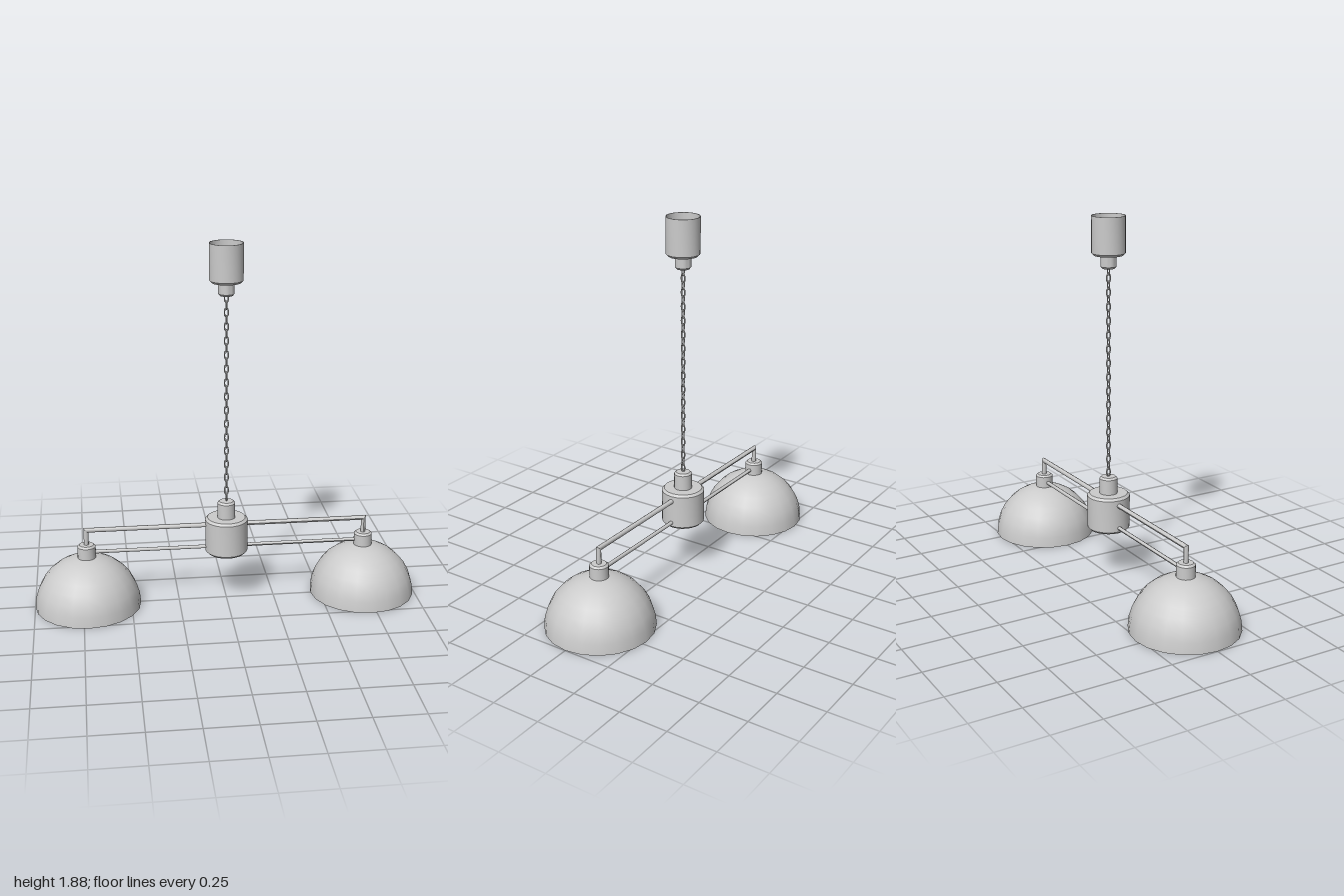
import * as THREE from 'three';
import { toCreasedNormals } from 'three/addons/utils/BufferGeometryUtils.js';

const material = new THREE.MeshStandardMaterial({ color: 0xcccccc, side: THREE.DoubleSide });

function addMesh(parent, name, geometry, x = 0, y = 0) {
  const mesh = new THREE.Mesh(geometry, material);
  mesh.name = name;
  mesh.position.set(x, y, 0);
  parent.add(mesh);
  return mesh;
}

// Turned part from [radius, height] pairs, with sharp edges kept
function turned(points, sides = 24) {
  const profile = points.map(([r, y]) => new THREE.Vector2(r, y));
  return toCreasedNormals(new THREE.LatheGeometry(profile, sides), 0.6);
}

// Round rod along +x, its far end optionally cut at 45 degrees for a mitre
function rod(length, radius, mitre = 0) {
  const g = new THREE.CylinderGeometry(radius, radius, length, 8);
  g.rotateZ(-Math.PI / 2).translate(length / 2, 0, 0);
  const p = g.attributes.position;
  for (let i = 0; i < p.count; i++) {
    if (p.getX(i) > length / 2) p.setX(i, length + mitre * p.getY(i));
  }
  g.computeVertexNormals();
  return g;
}

// Oval chain link: two straight sides joined by half circles
function chainLink() {
  const r = 0.0085, straight = 0.012, points = [];
  for (let i = 0; i < 10; i++) {
    const half = i < 5 ? 1 : -1;
    const a = (i % 5) * Math.PI / 4 + (half > 0 ? 0 : Math.PI);
    points.push(new THREE.Vector3(r * Math.cos(a), r * Math.sin(a) + half * straight, 0));
  }
  const curve = new THREE.CatmullRomCurve3(points, true);
  return new THREE.TubeGeometry(curve, 20, 0.0038, 6, true);
}

// Thin hemispherical shell, outer skin up and inner skin back down
function domeProfile(outer, inner, rings) {
  const points = [];
  for (let i = 0; i <= rings; i++) {
    const a = (i / rings) * Math.PI / 2;
    points.push([outer * Math.cos(a), outer * Math.sin(a)]);
  }
  for (let i = rings; i >= 0; i--) {
    const a = (i / rings) * Math.PI / 2;
    points.push([inner * Math.cos(a), inner * Math.sin(a)]);
  }
  points.push([outer, 0]);
  return points;
}

export function createModel() {
  const model = new THREE.Group();
  model.name = 'pendantLamp';

  // Ceiling cup, open at the top, with a stepped neck
  addMesh(model, 'ceilingCup', turned([
    [0, 1.625], [0.032, 1.625], [0.04, 1.635], [0.04, 1.69], [0.073, 1.69],
    [0.085, 1.702], [0.085, 1.885], [0.081, 1.885], [0.081, 1.703],
    [0.072, 1.694], [0.036, 1.694], [0.036, 1.637], [0.03, 1.629], [0, 1.629],
  ]));

  // Chain of links turned alternately by a quarter
  const chain = new THREE.Group();
  chain.name = 'chain';
  model.add(chain);
  const link = chainLink();
  for (let i = 0; i < 30; i++) {
    const mesh = addMesh(chain, 'chainLink', link, 0, 1.613 - i * 0.036);
    mesh.rotation.y = (i % 2) * Math.PI / 2;
  }

  // Central hub and the collar holding the chain
  addMesh(model, 'hub', turned([
    [0, 0.265], [0.098, 0.265], [0.11, 0.277], [0.11, 0.446], [0.098, 0.458], [0, 0.458],
  ]));
  addMesh(model, 'hubCollar', turned([
    [0, 0.45], [0.046, 0.45], [0.046, 0.537], [0.036, 0.547], [0, 0.547],
  ]));

  // Two mirrored arms, each carrying a shade
  const armX = 0.725, rodRadius = 0.0125, upperY = 0.418;
  const dome = turned(domeProfile(0.274, 0.269, 8), 20);
  const cap = turned([
    [0, 0.258], [0.047, 0.258], [0.047, 0.33], [0.037, 0.34], [0, 0.34],
  ], 20);
  for (const side of [1, -1]) {
    const arm = new THREE.Group();
    arm.name = side > 0 ? 'leftArm' : 'rightArm';
    arm.rotation.y = side > 0 ? 0 : Math.PI;
    model.add(arm);

    addMesh(arm, 'upperRod', rod(armX - 0.09, rodRadius, 1), 0.09, upperY);
    addMesh(arm, 'lowerRod', rod(armX - 0.12, 0.01), 0.09, 0.297);
    // Post rises from the cap and meets the upper rod in a mitre
    const post = addMesh(arm, 'post', rod(upperY - 0.33, rodRadius, -1), armX, 0.33);
    post.rotation.z = Math.PI / 2;
    addMesh(arm, 'shadeCap', cap, armX);
    addMesh(arm, 'shade', dome, armX);
  }
  return model;
}
